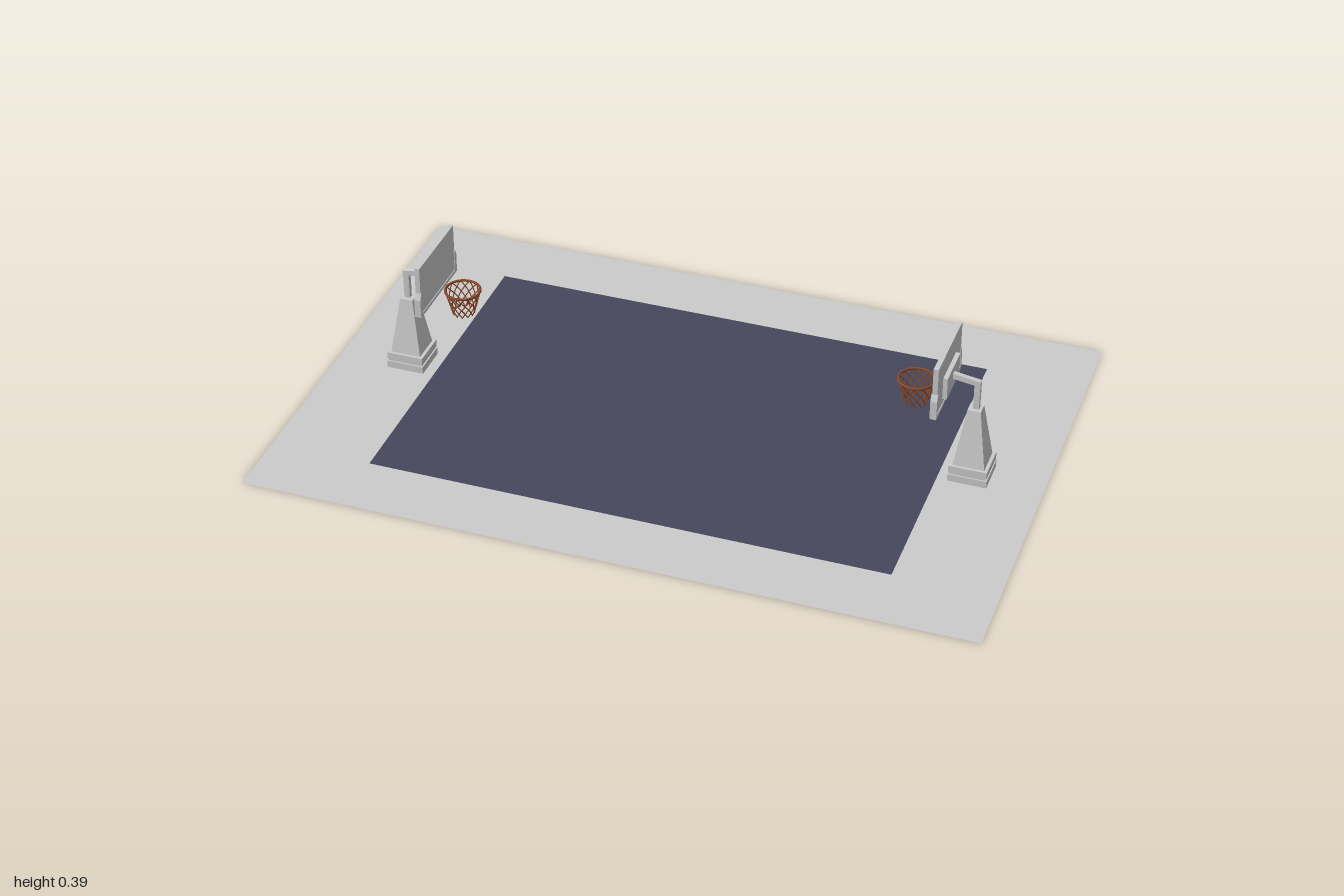
import * as THREE from 'three';

const grey = new THREE.MeshStandardMaterial({ color: 0xcccccc, flatShading: true });
const floorGrey = new THREE.MeshStandardMaterial({ color: 0xcccccc, side: THREE.DoubleSide });
const navy = new THREE.MeshStandardMaterial({ color: 0x46475d, side: THREE.DoubleSide });
const rust = new THREE.MeshStandardMaterial({ color: 0x8a4a2c });

function add(parent, name, geometry, material, x = 0, y = 0, z = 0) {
  const mesh = new THREE.Mesh(geometry, material);
  mesh.name = name;
  mesh.position.set(x, y, z);
  parent.add(mesh);
  return mesh;
}

function box(parent, name, w, h, d, x, y, z = 0) {
  return add(parent, name, new THREE.BoxGeometry(w, h, d), grey, x, y, z);
}

function polygon(points) {
  return new THREE.Shape(points.map(([x, y]) => new THREE.Vector2(x, y)));
}

// Outline in the z-y plane, extruded along x from x0
function panel(parent, name, points, depth, x0) {
  const geometry = new THREE.ExtrudeGeometry(polygon(points), { depth, bevelEnabled: false });
  geometry.rotateY(Math.PI / 2);
  return add(parent, name, geometry, grey, x0);
}

// Tapering diamond net: strands wind both ways between rim and hem
function createNet(topR, bottomR, topY, bottomY) {
  const net = new THREE.Group();
  net.name = 'net';
  const strands = 12;
  for (const dir of [-1, 1]) {
    for (let i = 0; i < strands; i++) {
      const points = [];
      for (let k = 0; k <= 6; k++) {
        const t = k / 6;
        const a = (i / strands) * Math.PI * 2 + dir * t * Math.PI * 0.42;
        const r = THREE.MathUtils.lerp(topR, bottomR, t);
        points.push(new THREE.Vector3(r * Math.cos(a), THREE.MathUtils.lerp(topY, bottomY, t), r * Math.sin(a)));
      }
      add(net, 'netStrand', new THREE.TubeGeometry(new THREE.CatmullRomCurve3(points), 8, 0.0016, 5), rust);
    }
  }
  return net;
}

// Stand at +x, with its basket towards the centre
function createHoop() {
  const hoop = new THREE.Group();

  // Two-slab base with a recessed gap
  box(hoop, 'baseSlab', 0.106, 0.021, 0.104, 0.8, 0.0105);
  box(hoop, 'baseCore', 0.098, 0.008, 0.096, 0.8, 0.024);
  box(hoop, 'upperBaseSlab', 0.104, 0.021, 0.102, 0.8, 0.0375);

  // Square tapering tower
  const tower = new THREE.CylinderGeometry(0.018 * Math.SQRT2, 0.043 * Math.SQRT2, 0.166, 4);
  tower.rotateY(Math.PI / 4);
  add(hoop, 'tower', tower, grey, 0.8, 0.13);

  // Post and slightly rising arm
  box(hoop, 'post', 0.016, 0.09, 0.014, 0.802, 0.252);
  const arm = box(hoop, 'arm', 0.08, 0.015, 0.014, 0.77, 0.297);
  arm.rotation.z = -0.15;

  // Mounting plate and backboard
  box(hoop, 'mountPlate', 0.012, 0.064, 0.126, 0.73, 0.298);
  box(hoop, 'backboard', 0.014, 0.15, 0.234, 0.717, 0.316);

  // Padding wrapped around the lower edge of the board
  panel(hoop, 'boardPadding', [
    [-0.125, 0.24], [0.125, 0.24], [0.125, 0.295], [0.117, 0.313],
    [0.113, 0.313], [0.113, 0.25], [-0.113, 0.25], [-0.113, 0.313],
    [-0.117, 0.313], [-0.125, 0.295],
  ], 0.018, 0.708);

  // Rim and net
  const basket = new THREE.Group();
  basket.name = 'basket';
  basket.position.x = 0.638;
  hoop.add(basket);
  const ring = (r, tube) => new THREE.TorusGeometry(r, tube, 8, 28).rotateX(Math.PI / 2);
  add(basket, 'rim', ring(0.048, 0.0035), rust, 0, 0.268);
  basket.add(createNet(0.048, 0.029, 0.268, 0.195));
  return hoop;
}

export function createModel() {
  const model = new THREE.Group();

  // Flat surround with the court set into it
  const border = polygon([[-1, -0.667], [1, -0.667], [1, 0.667], [-1, 0.667]]);
  border.holes.push(polygon([[-0.718, -0.48], [-0.718, 0.48], [0.718, 0.48], [0.718, -0.48]]));
  add(model, 'surround', new THREE.ShapeGeometry(border).rotateX(-Math.PI / 2), floorGrey);
  add(model, 'court', new THREE.PlaneGeometry(1.436, 0.96).rotateX(-Math.PI / 2), navy);

  // One stand at each end
  ['leftHoop', 'rightHoop'].forEach((name, i) => {
    const hoop = createHoop();
    hoop.name = name;
    hoop.rotation.y = i * Math.PI;
    model.add(hoop);
  });
  return model;
}
